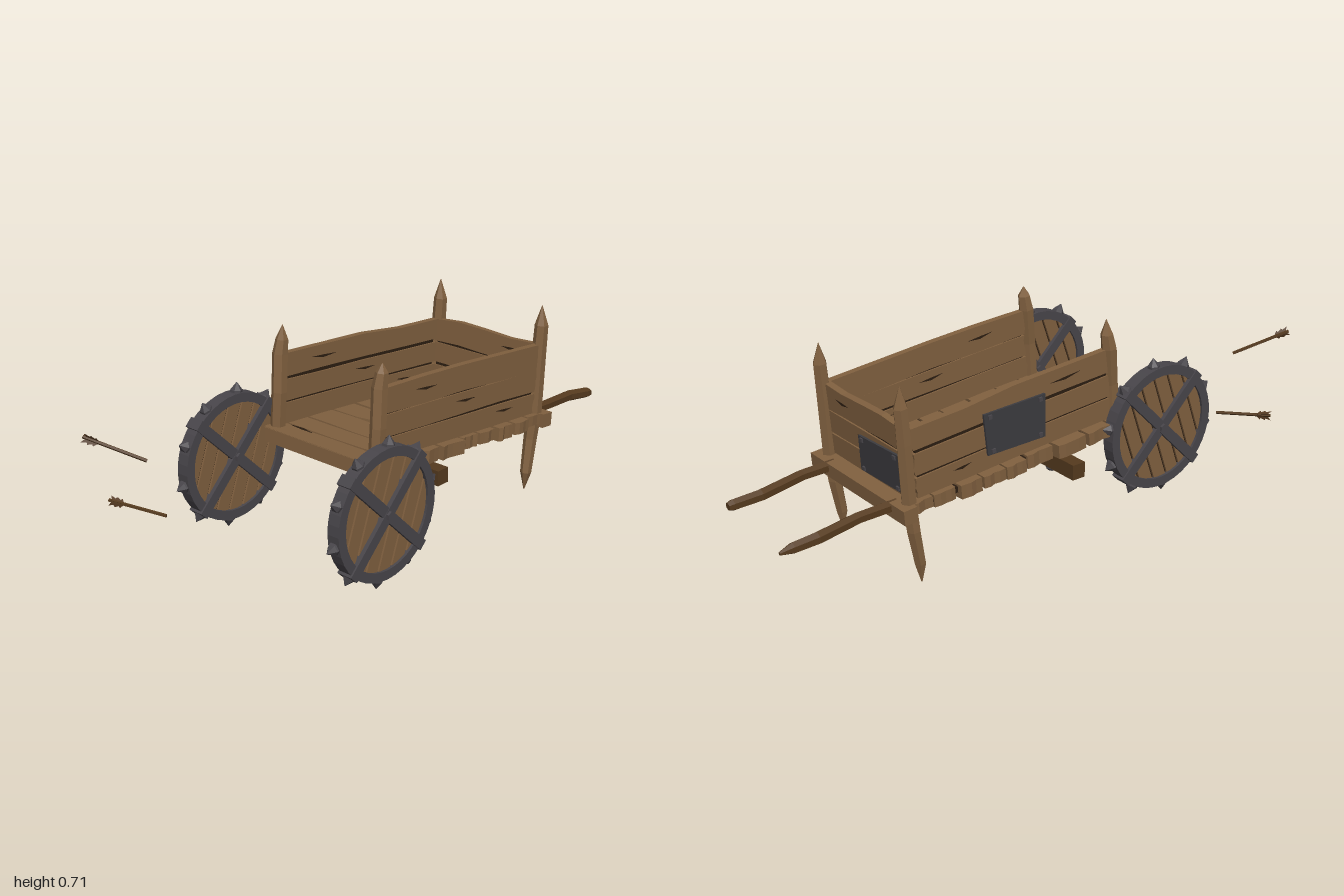
import * as THREE from 'three';

const mat = (name, color) => Object.assign(new THREE.MeshStandardMaterial({ color }), { name });
const V = (x, y, z) => new THREE.Vector3(x, y, z);

export function createModel() {
  const wood = mat('wood', 0x80603f), darkWood = mat('dark wood', 0x553a1e);
  const gap = mat('seam brown', 0x2c1e12), iron = mat('iron', 0x48454a);
  const plate = mat('plate iron', 0x3c3b3f);
  const fletch = mat('fletching', 0x553a22);
  fletch.side = THREE.DoubleSide;

  let seed = 7;
  const rnd = () => (seed = (seed * 16807) % 2147483647) / 2147483647 - 0.5;

  const add = (parent, name, geo, material) => {
    const m = new THREE.Mesh(geo, material);
    m.name = name;
    parent.add(m);
    return m;
  };
  const box = (parent, name, size, pos, material) => {
    const m = add(parent, name, new THREE.BoxGeometry(...size), material);
    m.position.set(...pos);
    return m;
  };
  const group = (parent, name) => {
    const g = new THREE.Group();
    g.name = name;
    parent.add(g);
    return g;
  };
  const extrude = (pts, t) => new THREE.ExtrudeGeometry(
    new THREE.Shape(pts.map(p => new THREE.Vector2(...p))), { depth: t, bevelEnabled: false }
  ).translate(0, 0, -t / 2);

  // Rough-sawn board in the xy plane with uneven edges; notch = [u, halfWidth, depth] in the top edge
  const board = (u0, u1, v0, v1, t, jag, endJag, notch) => {
    const pts = [], n = 4;
    for (let i = 0; i <= n; i++) pts.push([u0 + (u1 - u0) * i / n, v0 + rnd() * jag]);
    for (let i = 1; i < 4; i++) pts.push([u1 + rnd() * endJag, v0 + (v1 - v0) * i / 4]);
    const top = [];
    for (let i = 0; i <= n; i++) {
      const u = u1 + (u0 - u1) * i / n;
      if (!notch || Math.abs(u - notch[0]) > notch[1]) top.push([u, v1 + rnd() * jag]);
    }
    if (notch) {
      const [u, w, d] = notch;
      top.push([u + w, v1], [u, v1 - d], [u - w, v1]);
      top.sort((a, b) => b[0] - a[0]);
    }
    pts.push(...top);
    for (let i = 3; i > 0; i--) pts.push([u0 + rnd() * endJag, v0 + (v1 - v0) * i / 4]);
    return extrude(pts, t);
  };

  // Faceted bar lofted through points with a radius at each
  const bar = (points, radii, sides = 6) => {
    const dir = points[points.length - 1].clone().sub(points[0]).normalize();
    const q = new THREE.Quaternion().setFromUnitVectors(V(0, 1, 0), dir);
    const loops = points.map((p, k) => Array.from({ length: sides }, (_, i) => {
      const a = (i + 0.5) / sides * Math.PI * 2;
      return V(Math.cos(a) * radii[k], 0, Math.sin(a) * radii[k]).applyQuaternion(q).add(p);
    }));
    const out = [];
    const tri = (...vs) => vs.forEach(v => out.push(v.x, v.y, v.z));
    for (let k = 0; k < loops.length - 1; k++) for (let i = 0; i < sides; i++) {
      const j = (i + 1) % sides, a = loops[k], b = loops[k + 1];
      tri(a[i], b[i], b[j]);
      tri(a[i], b[j], a[j]);
    }
    const a = loops[0], b = loops[loops.length - 1];
    for (let i = 0; i < sides; i++) {
      const j = (i + 1) % sides;
      tri(points[0], a[i], a[j]);
      tri(points[points.length - 1], b[j], b[i]);
    }
    const g = new THREE.BufferGeometry();
    g.setAttribute('position', new THREE.Float32BufferAttribute(out, 3));
    g.computeVertexNormals();
    return g;
  };

  const root = new THREE.Group();
  root.name = 'brokenCart';

  // Tilted cart body: local y = 0 is the top of the floor
  const body = group(root, 'cartBody');
  body.position.set(-0.03, 0.338, 0);
  body.rotation.x = -0.088;

  // Floor boards, with a hole between two of them
  const floor = group(body, 'floor');
  const seams = [-0.61, -0.49, -0.4, -0.31, -0.22, -0.13, -0.015, 0.11, 0.21, 0.305];
  for (let i = 0; i < 9; i++) {
    const t = 0.043 + rnd() * 0.012;
    const w = i === 8 ? [-0.25, 0.272] : [-0.265 + rnd() * 0.03, 0.262 + rnd() * 0.025];
    const geo = board(...w, seams[i] + 0.005, seams[i + 1] - 0.005, t, 0.008, 0.015,
      i === 5 ? [-0.05, 0.075, 0.02] : null);
    add(floor, 'floorBoard', geo.rotateX(Math.PI / 2), wood).position.y = -t / 2;
    if (i && i !== 6) box(floor, 'floorSeam', [0.49, 0.022, 0.024], [0, -0.018, seams[i]], gap);
  }
  box(floor, 'frontEdge', [0.515, 0.048, 0.03], [0.014, -0.025, 0.288], wood);
  box(floor, 'rearBeam', [0.545, 0.05, 0.05], [0, -0.025, -0.59], wood);

  // Walls of three stacked boards with dark seams
  const rows = [0, 0.08, 0.163, 0.25];
  const wall = (name, u0, u1, place) => {
    const g = group(body, name);
    for (let i = 0; i < 3; i++) {
      const top = i === 2;
      place(add(g, 'wallBoard', board(u0, u1, rows[i] + 0.004, rows[i + 1] - (top ? 0 : 0.004),
        0.024, top ? 0.014 : 0.005, 0.012), wood));
      if (i) place(add(g, 'wallSeam', extrude([[u0 + 0.01, rows[i] - 0.012], [u1 - 0.01, rows[i] - 0.012],
        [u1 - 0.01, rows[i] + 0.012], [u0 + 0.01, rows[i] + 0.012]], 0.012), gap));
    }
    // Splits in the grain, showing on both faces
    for (let i = 0; i < 3; i++) {
      const u = u0 + (u1 - u0) * (0.22 + 0.27 * i), v = rows[i] + 0.05, l = 0.05 + rnd() * 0.03;
      place(add(g, 'split', extrude([[u - l, v], [u, v - 0.006], [u + l, v + 0.004], [u, v + 0.003]], 0.0265), gap));
    }
  };
  for (const s of [-1, 1]) wall(s > 0 ? 'leftWall' : 'rightWall', -0.54, 0.25, m => {
    m.rotation.y = -Math.PI / 2;
    m.position.x = s * 0.23;
  });
  wall('backWall', -0.225, 0.225, m => { m.position.z = -0.55; });

  // Splits on the floor
  for (const [x, z, l] of [[-0.05, -0.17, 0.1], [0.13, -0.42, 0.05], [-0.15, 0.22, 0.05], [0.1, 0.06, 0.07], [-0.1, -0.36, 0.08]])
    add(floor, 'floorSplit', extrude([[x - l, z], [x, z - 0.006], [x + l, z + 0.004], [x, z + 0.005]], 0.004)
      .rotateX(Math.PI / 2), gap);

  // Pointed corner posts; the rear pair run down to become legs
  for (const s of [-1, 1]) {
    const x = s * 0.23, h = s < 0 ? 0.35 : 0.332, z = s < 0 ? 0.255 : 0.272;
    add(body, 'frontPost', bar([V(x, -0.04, z), V(x + 0.004, 0.12, z + 0.004), V(x - 0.003, 0.25, z), V(x, 0.3, z - 0.003),
      V(x + 0.003, h, z)], [0.026, 0.027, 0.027, 0.022, 0.001]), wood);
    add(body, 'rearPostLeg', bar([V(x - 0.006, -0.291, -0.555), V(x - 0.002, -0.225, -0.551), V(x - 0.006, -0.1, -0.565),
      V(x, 0, -0.567), V(x, 0.2, -0.562), V(x + 0.002, 0.32, -0.56), V(x, 0.39, -0.557)],
      [0.002, 0.02, 0.024, 0.026, 0.026, 0.024, 0.001]), wood);
  }

  // Riveted repair plates on the back and right walls
  const patch = (name, pts, place) => {
    const g = group(body, name);
    add(g, 'ironPlate', extrude(pts, 0.008), plate);
    for (const [x, y] of pts) {
      const cx = pts.reduce((a, p) => a + p[0], 0) / 4, cy = pts.reduce((a, p) => a + p[1], 0) / 4;
      box(g, 'rivet', [0.014, 0.014, 0.018], [x + (cx - x) * 0.18, y + (cy - y) * 0.18, 0], iron);
    }
    place(g);
  };
  patch('backPatch', [[-0.205, 0.02], [0.03, 0.015], [0.025, 0.14], [-0.2, 0.15]], g => { g.position.z = -0.567; });
  patch('sidePatch', [[-0.27, 0.055], [-0.04, 0.04], [-0.03, 0.19], [-0.275, 0.2]], g => {
    g.rotation.y = -Math.PI / 2;
    g.position.x = -0.246;
  });

  // Pull handles
  add(root, 'rightHandle', bar([V(-0.215, 0.268, -0.58), V(-0.212, 0.262, -0.72), V(-0.222, 0.245, -0.87), V(-0.21, 0.232, -0.95),
    V(-0.208, 0.226, -0.995)], [0.021, 0.02, 0.021, 0.019, 0.006]), darkWood);
  add(root, 'leftHandle', bar([V(0.15, 0.268, -0.58), V(0.153, 0.262, -0.7), V(0.135, 0.246, -0.86), V(0.147, 0.235, -0.955),
    V(0.15, 0.232, -0.972)], [0.021, 0.02, 0.021, 0.02, 0.014]), darkWood);

  // Axle with bolts beneath
  box(root, 'axle', [0.64, 0.053, 0.05], [-0.04, 0.258, 0.032], darkWood);
  for (const x of [-0.21, 0.135])
    add(root, 'axleBolt', bar([V(x, 0.205, 0.04), V(x, 0.214, 0.04), V(x, 0.236, 0.04)], [0.01, 0.021, 0.021]), iron);

  // Spiked wheels, lying loose in front of the cart
  const wheel = (name, x) => {
    const w = group(root, name);
    const R = 0.2, n = 7;
    const planks = group(w, 'wheelPlanks');
    planks.rotation.z = -0.35;
    for (let i = 0; i < n; i++) {
      const a = -R + 2 * R * i / n + 0.004, b = -R + 2 * R * (i + 1) / n - 0.004;
      const h = u => Math.sqrt(Math.max(0, R * R - u * u)), m = (a + b) / 2;
      add(planks, 'wheelPlank', extrude([[a, -h(a)], [m, -h(m)], [b, -h(b)], [b, h(b)], [m, h(m)], [a, h(a)]], 0.028), wood);
    }
    const core = add(w, 'wheelSeams', new THREE.CylinderGeometry(0.198, 0.198, 0.014, 20), gap);
    core.rotation.x = Math.PI / 2;
    const ring = new THREE.Shape().absarc(0, 0, 0.22, 0, Math.PI * 2);
    ring.holes.push(new THREE.Path().absarc(0, 0, 0.188, 0, Math.PI * 2, true));
    add(w, 'rim', new THREE.ExtrudeGeometry(ring, { depth: 0.046, bevelEnabled: false, curveSegments: 20 })
      .translate(0, 0, -0.023), iron);
    for (const s of [-1, 1]) {
      box(w, 'crossStrap', [0.455, 0.036, s > 0 ? 0.058 : 0.055], [0, 0, 0], iron).rotation.z = s * Math.PI / 4;
    }
    add(w, 'hubBolt', bar([V(0, 0, -0.038), V(0, 0, 0.038)], [0.016, 0.016]), iron);
    for (let i = 0; i < 10; i++) {
      const a = 1.45 + i * Math.PI / 5, p = r => V(Math.cos(a) * r, Math.sin(a) * r, 0);
      add(w, 'spike', bar([p(0.205), p(0.226), p(0.252)], [0.023, 0.021, 0.001]), iron);
    }
    w.rotation.y = Math.PI / 2;
    w.position.set(x, 0.295, 0.427);
  };
  wheel('leftWheel', 0.37);
  wheel('rightWheel', -0.3);

  // Arrows: shaft from tail to tip, with ragged feathers at the tail
  const arrow = (tail, tip) => {
    const g = group(root, 'arrow'), L = tail.distanceTo(tip);
    add(g, 'shaft', bar([V(0, 0, 0), V(0, L, 0)], [0.006, 0.006], 5), darkWood);
    const vane = new THREE.Shape([[0, 0.055], [0.018, 0.04], [0.012, 0.036], [0.019, 0.022], [0.013, 0.018],
      [0.019, 0], [0, 0.012]].map(p => new THREE.Vector2(...p)));
    for (let i = 0; i < 3; i++)
      add(g, 'feather', new THREE.ShapeGeometry(vane), fletch).rotation.y = i * Math.PI * 2 / 3 + 0.4;
    g.position.copy(tail);
    g.quaternion.setFromUnitVectors(V(0, 1, 0), tip.clone().sub(tail).normalize());
  };
  arrow(V(-0.352, 0.522, 0.99), V(-0.225, 0.433, 0.85));
  arrow(V(-0.405, 0.25, 0.868), V(-0.225, 0.222, 0.785));

  return root;
}
